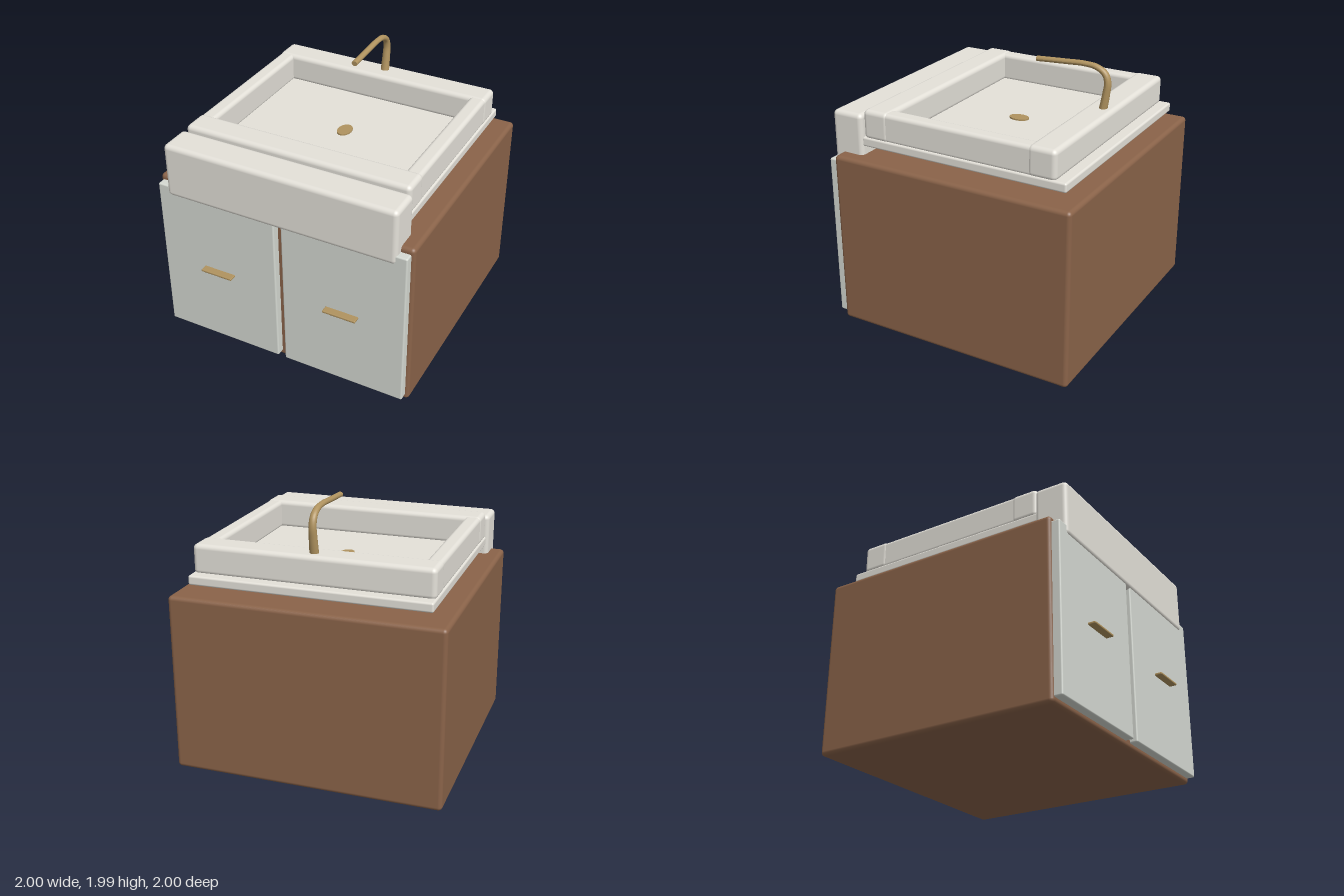
import * as THREE from 'three';
import { RoundedBoxGeometry } from 'three/addons/geometries/RoundedBoxGeometry.js';

const wood = new THREE.MeshStandardMaterial({ color: 0x8a6349 });
const ceramic = new THREE.MeshStandardMaterial({ color: 0xe4e1d9 });
const doorPaint = new THREE.MeshStandardMaterial({ color: 0xd5d9d2 });
const brass = new THREE.MeshStandardMaterial({ color: 0xb0935f });

export function createModel() {
  const group = new THREE.Group();

  const add = (name, geometry, material) => {
    const mesh = new THREE.Mesh(geometry, material);
    mesh.name = name;
    group.add(mesh);
    return mesh;
  };

  // Rounded box given by its extents along each axis
  const block = (name, material, [x0, x1], [y0, y1], [z0, z1], radius) => {
    const geometry = new RoundedBoxGeometry(x1 - x0, y1 - y0, z1 - z0, 4, radius);
    geometry.translate((x0 + x1) / 2, (y0 + y1) / 2, (z0 + z1) / 2);
    return add(name, geometry, material);
  };

  // Cabinet
  block('cabinet', wood, [-1, 1], [0.01, 1.34], [-1, 0.885], 0.03);

  // Doors, each with a thin horizontal pull
  for (const [side, x0, x1, h0, h1] of [
    ['right', -0.98, -0.03, -0.63, -0.375],
    ['left', 0.025, 0.975, 0.37, 0.627],
  ]) {
    block(side + 'Door', doorPaint, [x0, x1], [0.05, 1.3], [0.84, 0.945], 0.012);
    block(side + 'Handle', brass, [h0, h1], [0.664, 0.682], [0.93, 1], 0.006);
  }

  // Front apron overlapping the doors
  block('apron', ceramic, [-0.9, 0.9], [1.225, 1.645], [0.705, 0.955], 0.035);

  // Base plate, which is also the basin floor
  block('basinPlate', ceramic, [-0.88, 0.88], [1.405, 1.475], [-0.905, 0.72], 0.015);

  // Four rails forming the basin rim
  const railY = [1.46, 1.68];
  block('backRail', ceramic, [-0.875, 0.875], railY, [-0.825, -0.612], 0.035);
  block('frontRail', ceramic, [-0.875, 0.875], railY, [0.497, 0.705], 0.035);
  for (const [name, s] of [['leftRail', 1], ['rightRail', -1]]) {
    block(name, ceramic, [s * 0.81 - 0.06, s * 0.81 + 0.06], [1.46, 1.675], [-0.75, 0.64], 0.03);
  }

  // Oval drain cover
  const drain = add('drain', new THREE.CylinderGeometry(1, 1, 0.012, 40), brass);
  drain.scale.set(0.053, 1, 0.077);
  drain.position.set(0, 1.48, -0.062);

  // Curved spout rising behind the basin
  const path = new THREE.CatmullRomCurve3([
    [1.65, -0.735], [1.78, -0.757], [1.87, -0.766], [1.93, -0.745],
    [1.97, -0.68], [1.981, -0.58], [1.974, -0.44], [1.96, -0.21],
  ].map(([y, z]) => new THREE.Vector3(0, y, z)));
  const radius = 0.0205;
  const segments = 60;
  const spout = add('spout', new THREE.TubeGeometry(path, segments, radius, 20), brass);

  // Thicken the tube towards its base
  const pos = spout.geometry.attributes.position;
  const centre = new THREE.Vector3();
  const point = new THREE.Vector3();
  for (let i = 0; i < pos.count; i++) {
    const t = Math.floor(i / 21) / segments;
    path.getPointAt(t, centre);
    point.fromBufferAttribute(pos, i).sub(centre).multiplyScalar(1 + 0.5 * Math.max(0, 1 - t / 0.5));
    if (t > 0.5) point.y *= 0.95;
    point.x *= 1.1;
    point.add(centre);
    pos.setXYZ(i, point.x, point.y, point.z);
  }
  spout.geometry.computeVertexNormals();

  // Closed end of the spout
  const cap = add('spoutTip', new THREE.CircleGeometry(radius, 20), brass);
  cap.scale.set(1.1, 0.95, 1);
  cap.position.copy(path.getPointAt(1));
  cap.lookAt(path.getPointAt(1).add(path.getTangentAt(1)));

  return group;
}
